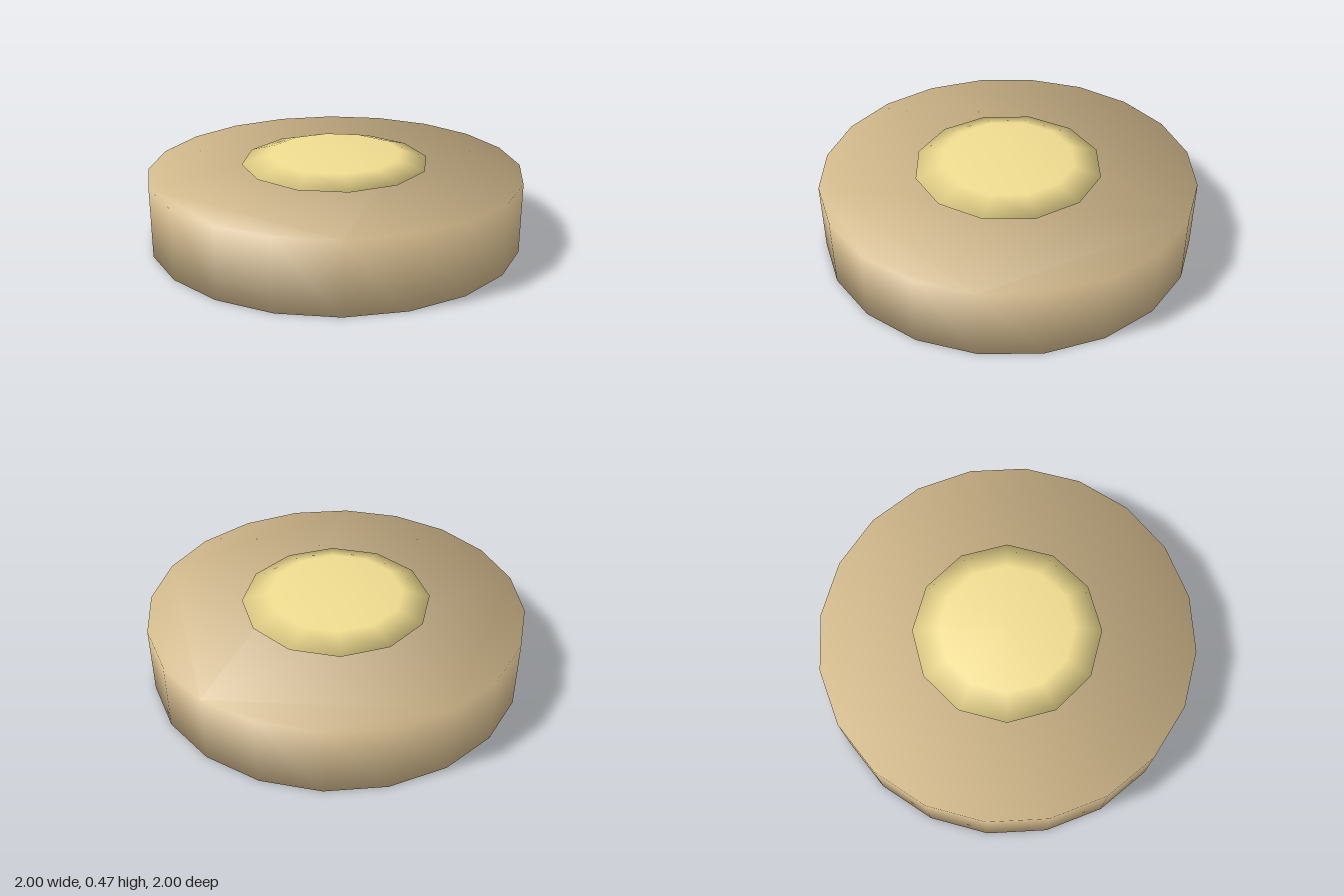
import * as THREE from 'three';
import { mergeVertices } from 'three/addons/utils/BufferGeometryUtils.js';

const SIDES = 20;
const HEIGHT = 0.375;

// Low-poly disc whose rim is shaded smoothly into both caps
function discGeometry(radius, height, sides) {
  const points = Array.from({ length: sides }, (_, i) => {
    const a = (i / sides) * Math.PI * 2;
    return new THREE.Vector2(Math.cos(a) * radius, Math.sin(a) * radius);
  });
  const extruded = new THREE.ExtrudeGeometry(new THREE.Shape(points), { depth: height, bevelEnabled: false });
  extruded.rotateX(-Math.PI / 2);
  extruded.deleteAttribute('uv');
  extruded.deleteAttribute('normal');
  const geometry = mergeVertices(extruded, 1e-4);
  const position = geometry.attributes.position;
  const normals = [];
  const n = new THREE.Vector3();
  for (let i = 0; i < position.count; i++) {
    const up = position.getY(i) > height / 2 ? 0.9 : -0.9;
    n.set(position.getX(i) / radius, up, position.getZ(i) / radius).normalize();
    normals.push(n.x, n.y, n.z);
  }
  geometry.setAttribute('normal', new THREE.Float32BufferAttribute(normals, 3));
  return geometry;
}

export function createModel() {
  const group = new THREE.Group();
  group.name = 'roundButton';

  // Thick round base
  const base = new THREE.Mesh(
    discGeometry(1, HEIGHT, SIDES),
    new THREE.MeshStandardMaterial({ color: 0xd2b98c })
  );
  base.name = 'base';
  group.add(base);

  // Flattened low-poly dome, sunk slightly into the base
  const dome = new THREE.SphereGeometry(0.5, 12, 4);
  dome.scale(1, 0.125, 1);
  const knob = new THREE.Mesh(dome, new THREE.MeshStandardMaterial({ color: 0xf0dc90 }));
  knob.name = 'centreKnob';
  knob.position.y = 0.4125;
  group.add(knob);

  return group;
}
